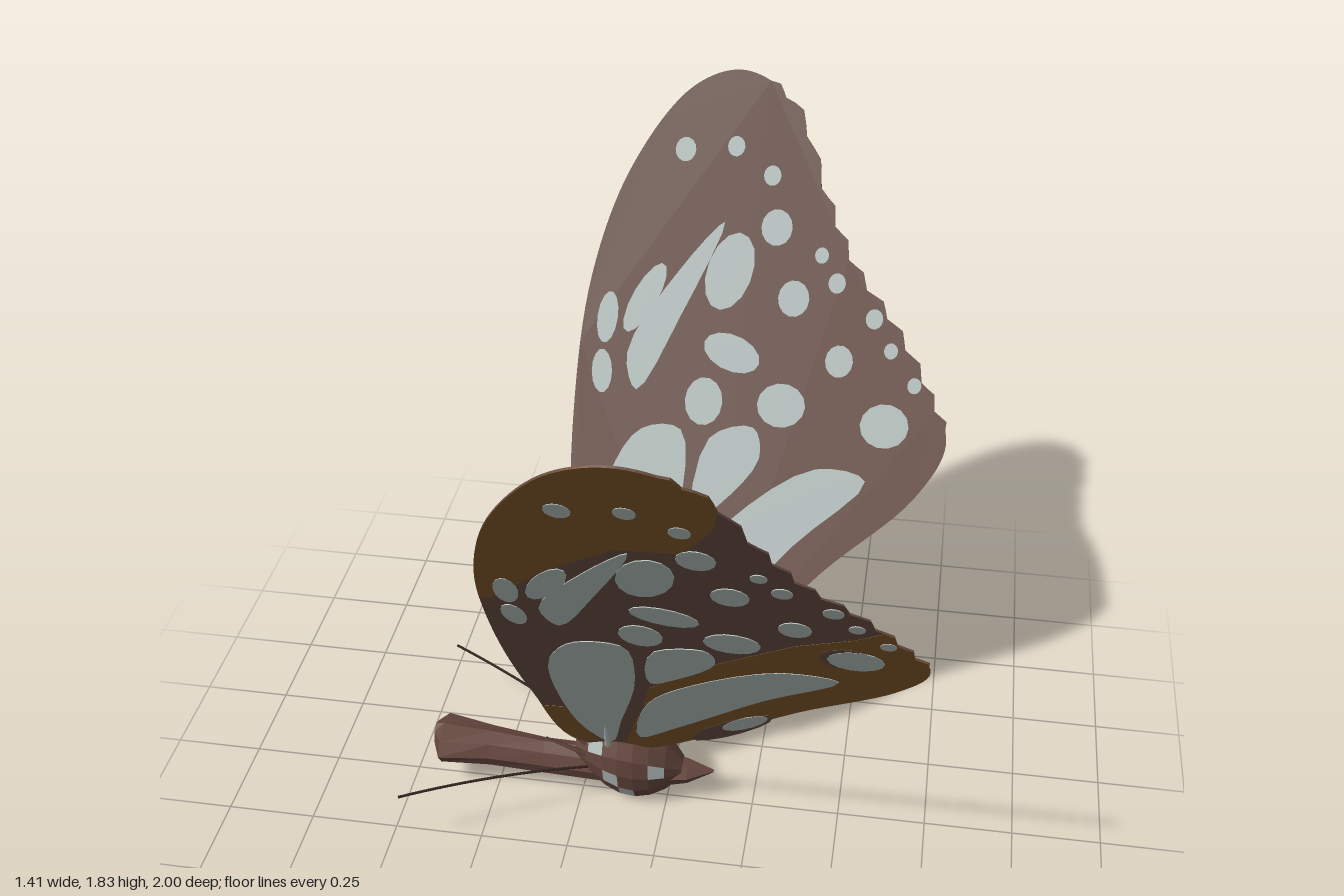
import * as THREE from 'three';

const paint = (name, color) => {
  const m = new THREE.MeshStandardMaterial({ color });
  m.name = name;
  return m;
};
const brown = paint('wing brown', 0x664c43);
const bodyBrown = paint('body brown', 0x64463d);
const ochre = paint('ochre', 0x7e5629);
const pale = paint('pale grey', 0xb0bbb8);
const dark = paint('dark brown', 0x33271f);

const add = (parent, name, geo, mat) => {
  const mesh = new THREE.Mesh(geo, mat);
  mesh.name = name;
  parent.add(mesh);
  return mesh;
};

// Wing patterns are drawn on a flat grid, 205 cells per unit, y downwards
const SLOPE = 0.591, ROOT_Y = 0.25;
const toWing = (x, y) =>
  new THREE.Vector2((x - 238) / 205, ((413 - y) / 205 - ROOT_Y) * Math.hypot(1, SLOPE));
const pairs = (a) => Array.from({ length: a.length / 2 }, (_, i) => toWing(a[2 * i], a[2 * i + 1]));
const smooth = (a, n) => {
  const points = pairs(a).map((p) => new THREE.Vector3(p.x, p.y, 0));
  return new THREE.CatmullRomCurve3(points, true).getPoints(points.length * n).slice(0, -1)
    .map((p) => new THREE.Vector2(p.x, p.y));
};
const oval = (cx, cy, rx, ry = rx, tilt = 0) => Array.from({ length: 14 }, (_, i) => {
  const a = (i / 14) * Math.PI * 2, t = THREE.MathUtils.degToRad(tilt);
  const u = rx * Math.cos(a), v = ry * Math.sin(a);
  return toWing(cx + u * Math.cos(t) - v * Math.sin(t), cy + u * Math.sin(t) + v * Math.cos(t));
});
const plate = (points, z0, z1) =>
  new THREE.ExtrudeGeometry(new THREE.Shape(points), { depth: z1 - z0, bevelEnabled: false }).translate(0, 0, z0);

// Leading edge, outer margin, trailing edge; the margin gets small scallops
function wingEdge() {
  const edge = smooth([
    188, 362, 172, 290, 166, 210, 171, 140, 190, 85, 222, 45, 250, 36, 280, 50, 304, 95,
    323, 127, 348, 154, 370, 184, 383, 210, 368, 238, 318, 280, 266, 332, 225, 364,
  ], 8);
  for (let i = 52; i < 94; i++) {
    const wave = 0.01 * Math.sin((i * Math.PI) / 2);
    edge[i].x += wave * 0.85;
    edge[i].y += wave * 0.5;
  }
  return edge;
}

function makeWing() {
  const wing = new THREE.Group();
  wing.name = 'wing';
  const edge = wingEdge();
  add(wing, 'wingMembrane', plate(edge, -0.0025, 0.0025), brown);

  // Ochre areas on the underside: a run of the edge closed by an inner border
  const patch = (from, to, border) =>
    add(wing, 'ochrePatch', plate([...edge.slice(from, to + 1), ...pairs(border)], 0, 0.0033), ochre);
  patch(20, 59, [285, 82, 271, 106, 240, 108, 207, 134, 174, 170]);
  patch(0, 6, [187, 309, 200, 361]);
  patch(84, 128, [214, 364, 232, 300, 239, 268, 272, 230, 318, 193, 345, 180]);
  add(wing, 'eyeRing', plate(oval(343, 203, 14, 12), 0, 0.0041), brown);
  add(wing, 'streakBorder', plate(oval(280, 315, 8, 34, 43), 0, 0.0041), brown);

  // Pale markings show on both faces
  const mark = (name, points) => add(wing, name, plate(points, -0.0049, 0.0049), pale);
  const cell = (...a) => mark('paleCell', smooth(a, 4));
  cell(190, 240, 207, 215, 230, 214, 233, 255, 218, 320, 207, 358, 195, 340, 187, 290);
  cell(241, 260, 247, 217, 272, 210, 277, 225, 256, 250);
  cell(226, 345, 236, 290, 262, 258, 310, 228, 339, 232, 300, 268, 250, 322);
  cell(246, 110, 225, 157, 202, 196, 195, 178, 222, 135);
  [
    [242, 199, 11, 12], [256, 174, 17, 9, 15], [287, 198, 14, 11], [251, 134, 13, 20, 20],
    [203, 150, 7, 20, 30], [182, 161, 6, 13, 5], [181, 188, 6, 11, -5], [288, 305, 6, 18, 43],
    [347, 204, 14, 11],
  ].forEach((s) => mark('paleSpot', oval(...s)));
  [
    [318, 174, 8], [289, 145, 9], [276, 111, 9], [313, 136, 5], [303, 123, 4],
    [271, 86, 5], [249, 73, 5], [220, 76, 6], [336, 152, 5], [347, 167, 4], [362, 183, 4],
  ].forEach((s) => mark('paleDot', oval(...s)));

  wing.position.set(0, ROOT_Y, 0.06);
  wing.rotation.x = Math.atan(SLOPE);
  return wing;
}

// Faceted body along x from sections [x, centreY, halfHeight, halfWidth]
function loft(sections, sides, egg, isPale) {
  const lists = [[], []];
  const last = sections.length - 1;
  const P = (i, j) => {
    const [x, y, h, w] = sections[i], a = (j / sides) * Math.PI * 2;
    return [x, y + h * Math.sin(a), w * Math.cos(a) * (1 + egg * Math.sin(a))];
  };
  const mid = (i) => [sections[i][0], sections[i][1], 0];
  for (let j = 0; j < sides; j++) {
    for (let i = 0; i < last; i++) {
      const a = P(i, j), b = P(i, j + 1), c = P(i + 1, j + 1), d = P(i + 1, j);
      lists[isPale(i, j) ? 1 : 0].push(...a, ...d, ...c, ...a, ...c, ...b);
    }
    lists[0].push(...mid(0), ...P(0, j), ...P(0, j + 1));
    lists[0].push(...mid(last), ...P(last, j + 1), ...P(last, j));
  }
  const geo = new THREE.BufferGeometry();
  geo.setAttribute('position', new THREE.Float32BufferAttribute(lists.flat(), 3));
  geo.addGroup(0, lists[0].length / 3, 0);
  geo.addGroup(lists[0].length / 3, lists[1].length / 3, 1);
  geo.computeVertexNormals();
  return geo;
}

// Thin spike between two points
function spike(parent, name, from, to, radius, mat) {
  const a = new THREE.Vector3(...from), dir = new THREE.Vector3(...to).sub(a);
  const mesh = add(parent, name, new THREE.CylinderGeometry(radius * 0.4, radius, dir.length(), 5), mat);
  mesh.position.copy(a).addScaledVector(dir, 0.5);
  mesh.quaternion.setFromUnitVectors(new THREE.Vector3(0, 1, 0), dir.normalize());
}

export function createModel() {
  const model = new THREE.Group();
  model.name = 'butterfly';

  // Wings, mirrored in z
  const mirror = new THREE.Group();
  mirror.name = 'mirroredWing';
  mirror.scale.z = -1;
  mirror.add(makeWing());
  model.add(makeWing(), mirror);

  // Abdomen with a pale stripe underneath
  const mats = [bodyBrown, pale];
  add(model, 'abdomen', loft([
    [-0.685, 0.155, 0.04, 0.035], [-0.66, 0.143, 0.055, 0.09], [-0.52, 0.132, 0.055, 0.06],
    [-0.36, 0.115, 0.055, 0.047], [-0.18, 0.11, 0.055, 0.05],
  ], 8, 0, (i, j) => i > 0 && (j === 5 || j === 6)), mats);

  // Egg-shaped thorax with the same pale flecks on both flanks
  const thorax = Array.from({ length: 8 }, (_, i) => {
    const t = i / 7, bulge = Math.sin(Math.PI * t) ** 0.8;
    return [-0.265 + 0.31 * t, 0.175 - 0.045 * t, 0.03 + 0.115 * bulge, 0.03 + 0.068 * bulge];
  });
  add(model, 'thorax', loft(thorax, 14, 0.22, (i, j) => {
    const k = Math.min(j, (20 - j) % 14);
    return i > 0 && i < 6 && k !== 2 && k !== 3 && (i * 3 + k * 2) % 5 === 0;
  }), mats);
  add(model, 'snout', loft([
    [0, 0.115, 0.05, 0.05], [0.06, 0.115, 0.035, 0.04], [0.135, 0.125, 0.004, 0.004],
  ], 6, 0, () => false), mats);

  // Antennae and bristles on each side
  for (const s of [1, -1]) {
    const path = new THREE.QuadraticBezierCurve3(
      new THREE.Vector3(-0.22, 0.16, 0.075 * s),
      new THREE.Vector3(-0.46, 0.215, 0.2 * s),
      new THREE.Vector3(-0.705, 0.213, 0.335 * s),
    );
    add(model, 'antenna', new THREE.TubeGeometry(path, 14, 0.004, 5), dark);
    spike(model, 'bristle', [-0.22, 0.18, 0.05 * s], [-0.34, 0.25, 0.07 * s], 0.009, bodyBrown);
    spike(model, 'bristle', [-0.21, 0.2, 0.04 * s], [-0.295, 0.28, 0.05 * s], 0.009, bodyBrown);
    spike(model, 'wingRootSpine', [-0.16, 0.25, 0.07 * s], [-0.15, 0.41, 0.155 * s], 0.01, pale);
  }
  return model;
}
